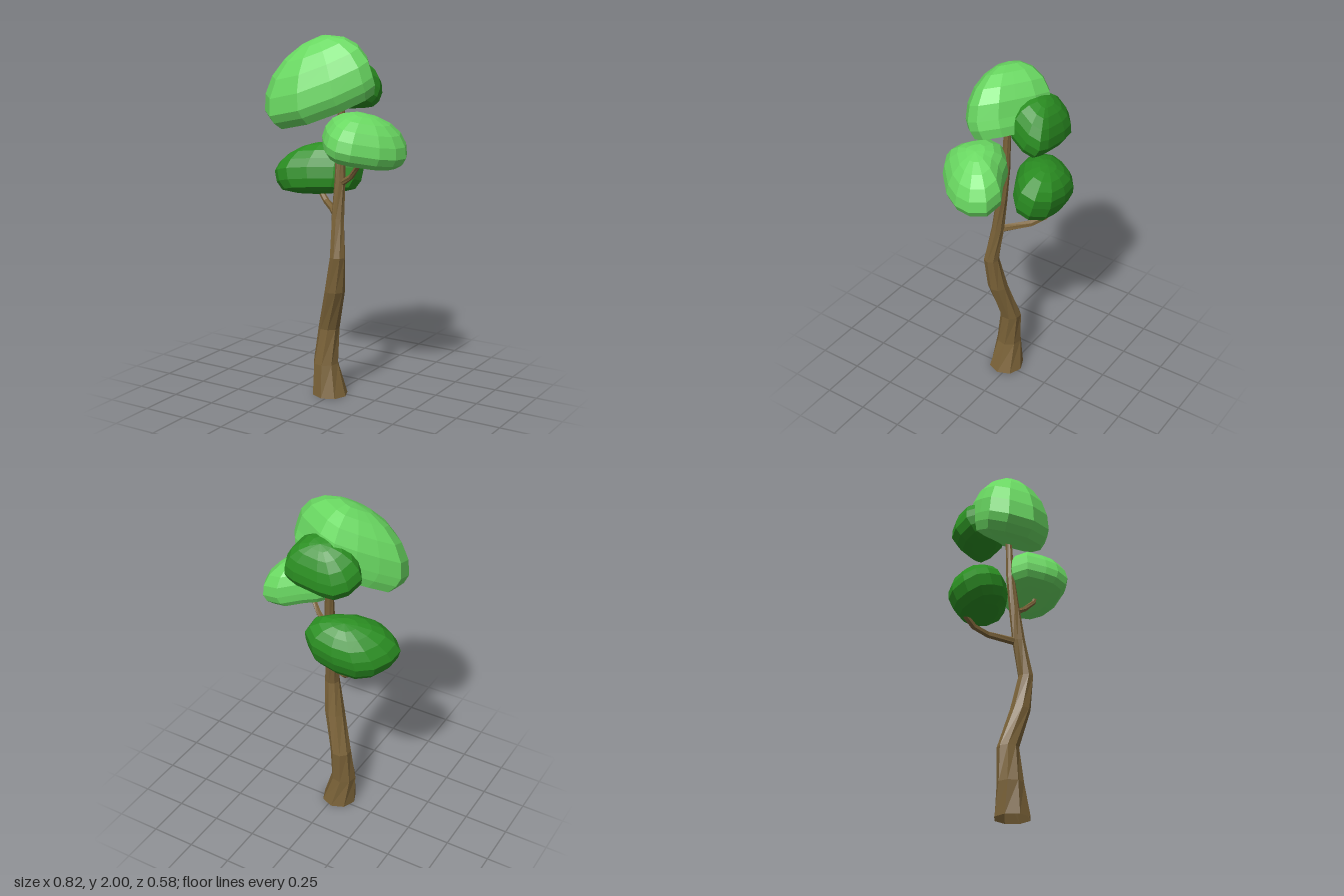
import * as THREE from 'three';

const V = (x, y, z) => new THREE.Vector3(x, y, z);

// Skin a stack of closed rings (listed bottom to top); fans close the top and, if given, the bottom.
function loft(rings, top, bottom) {
  const pos = [];
  const tri = (...pts) => pts.forEach((p) => pos.push(p.x, p.y, p.z));
  const n = rings[0].length;
  const last = rings[rings.length - 1];
  for (let i = 0; i < n; i++) {
    const j = (i + 1) % n;
    for (let k = 0; k < rings.length - 1; k++) {
      const a = rings[k], b = rings[k + 1];
      tri(a[i], b[i], a[j]);
      tri(a[j], b[i], b[j]);
    }
    tri(last[j], last[i], top);
    if (bottom) tri(rings[0][i], rings[0][j], bottom);
  }
  const geo = new THREE.BufferGeometry();
  geo.setAttribute('position', new THREE.Float32BufferAttribute(pos, 3));
  geo.computeVertexNormals();
  return geo;
}

// Tapered limb, open at its foot, through stations [x, y, z, radius]; upright limbs keep level rings.
function limb(stations, sides, upright) {
  const pts = stations.map(([x, y, z]) => V(x, y, z));
  const up = V(0, 1, 0);
  const rings = stations.map(([, , , r], k) => {
    const tangent = pts[Math.min(k + 1, pts.length - 1)].clone()
      .sub(pts[Math.max(k - 1, 0)]).normalize();
    const q = new THREE.Quaternion();
    if (!upright) q.setFromUnitVectors(up, tangent);
    return Array.from({ length: sides }, (_, i) => {
      const a = (i / sides) * Math.PI * 2 - k * 0.2;
      return V(Math.cos(a) * r, 0, Math.sin(a) * r).applyQuaternion(q).add(pts[k]);
    });
  });
  return loft(rings, pts[pts.length - 1]);
}

// Leaf clump: a plan outline [x, z] laid on a tilted plane, domed above and flattened below.
function clump({ outline, centre, slope, apex, depth, under }) {
  const c = V(...centre);
  const rim = outline.map(([x, z]) =>
    V(x - c.x, slope[0] * (x - c.x) + slope[1] * (z - c.z), z - c.z));
  const rise = V(...apex).sub(c);
  const drop = V(slope[0], -1, slope[1]).normalize().multiplyScalar(depth);
  const ring = (scale, axis, h) =>
    rim.map((p) => p.clone().multiplyScalar(scale).addScaledVector(axis, h).add(c));
  const dome = [0, 0.32, 0.65, 0.98, 1.28].map((a) => ring(Math.cos(a), rise, Math.sin(a)));
  const base = under.map(([s, h]) => ring(s, drop, h));
  return loft([...base, ...dome], c.clone().add(rise), c.clone().add(drop));
}

// Underside profiles [scale, depth share], from the middle out to the rim
const ROUND = [[0.5, 1], [0.82, 0.86], [0.95, 0.5]];
const FLAT = [[0.6, 1], [0.9, 0.9], [0.98, 0.45]];

export function createModel() {
  const bark = new THREE.MeshStandardMaterial({ color: 0x7a6238, side: THREE.DoubleSide });
  const lightLeaf = new THREE.MeshStandardMaterial({ color: 0x6ad962 });
  const darkLeaf = new THREE.MeshStandardMaterial({ color: 0x2b8f22 });
  bark.name = 'bark brown';
  lightLeaf.name = 'light leaf green';
  darkLeaf.name = 'dark leaf green';

  const tree = new THREE.Group();
  tree.name = 'tree';
  const add = (name, geometry, material) => {
    const mesh = new THREE.Mesh(geometry, material);
    mesh.name = name;
    tree.add(mesh);
  };

  // Winding trunk with a flared foot
  add('trunk', limb([
    [-0.022, 0, 0.03, 0.1], [-0.05, 0.18, 0.03, 0.072], [-0.04, 0.38, 0.012, 0.059],
    [0.025, 0.61, 0.057, 0.056], [0.055, 0.81, 0.078, 0.043], [0.037, 1.02, 0.045, 0.036],
    [0.035, 1.22, 0.02, 0.03], [0.027, 1.42, 0, 0.024], [0.025, 1.7, -0.012, 0.018],
  ], 8, true), bark);

  // Side branches
  add('lowerBranch', limb([
    [0.035, 1.015, 0.04, 0.022], [-0.08, 1.035, -0.09, 0.019],
    [-0.15, 1.06, -0.14, 0.018], [-0.21, 1.11, -0.17, 0.016],
  ], 6, false), bark);
  add('upperBranch', limb([
    [0.035, 1.2, 0.02, 0.018], [0.12, 1.255, 0.045, 0.015],
    [0.18, 1.32, 0.08, 0.013], [0.205, 1.4, 0.09, 0.011],
  ], 6, false), bark);

  // Leaf clumps
  add('crownClump', clump({
    outline: [[-0.37, 0.04], [-0.29, -0.05], [-0.2, -0.13], [-0.1, -0.195], [0, -0.17],
      [0.1, -0.11], [0.18, -0.06], [0.24, 0.03], [0.22, 0.1], [0.1, 0.2],
      [-0.07, 0.27], [-0.26, 0.255], [-0.36, 0.15]],
    centre: [-0.06, 1.71, 0.04], slope: [0.26, -0.38], apex: [-0.09, 1.98, 0.06],
    depth: 0.105, under: FLAT,
  }), lightLeaf);
  add('rearClump', clump({
    outline: [[-0.25, -0.15], [-0.22, -0.23], [-0.16, -0.28], [-0.08, -0.29], [0.07, -0.285],
      [0.13, -0.27], [0.15, -0.21], [0.12, -0.11], [0.05, -0.06], [-0.1, -0.05], [-0.2, -0.08]],
    centre: [-0.05, 1.7, -0.18], slope: [0.1, 0.5], apex: [-0.04, 1.86, -0.2],
    depth: 0.1, under: ROUND,
  }), darkLeaf);
  add('lowerClump', clump({
    outline: [[-0.41, -0.01], [-0.4, -0.09], [-0.35, -0.18], [-0.27, -0.24], [-0.15, -0.26],
      [-0.02, -0.25], [0.06, -0.19], [0.06, -0.1], [-0.03, -0.02], [-0.16, 0.05],
      [-0.28, 0.07], [-0.36, 0.04]],
    centre: [-0.18, 1.24, -0.1], slope: [0.15, 0.26], apex: [-0.15, 1.395, -0.15],
    depth: 0.125, under: ROUND,
  }), darkLeaf);
  add('sideClump', clump({
    outline: [[0.41, -0.03], [0.4, 0.06], [0.35, 0.15], [0.24, 0.255], [0.17, 0.29],
      [0.1, 0.26], [0.05, 0.21], [-0.015, 0.12], [0, 0.02], [0.08, -0.05],
      [0.16, -0.075], [0.27, -0.135], [0.37, -0.115]],
    centre: [0.2, 1.42, 0.08], slope: [-0.25, 0], apex: [0.215, 1.6, 0.06],
    depth: 0.08, under: ROUND,
  }), lightLeaf);

  return tree;
}
